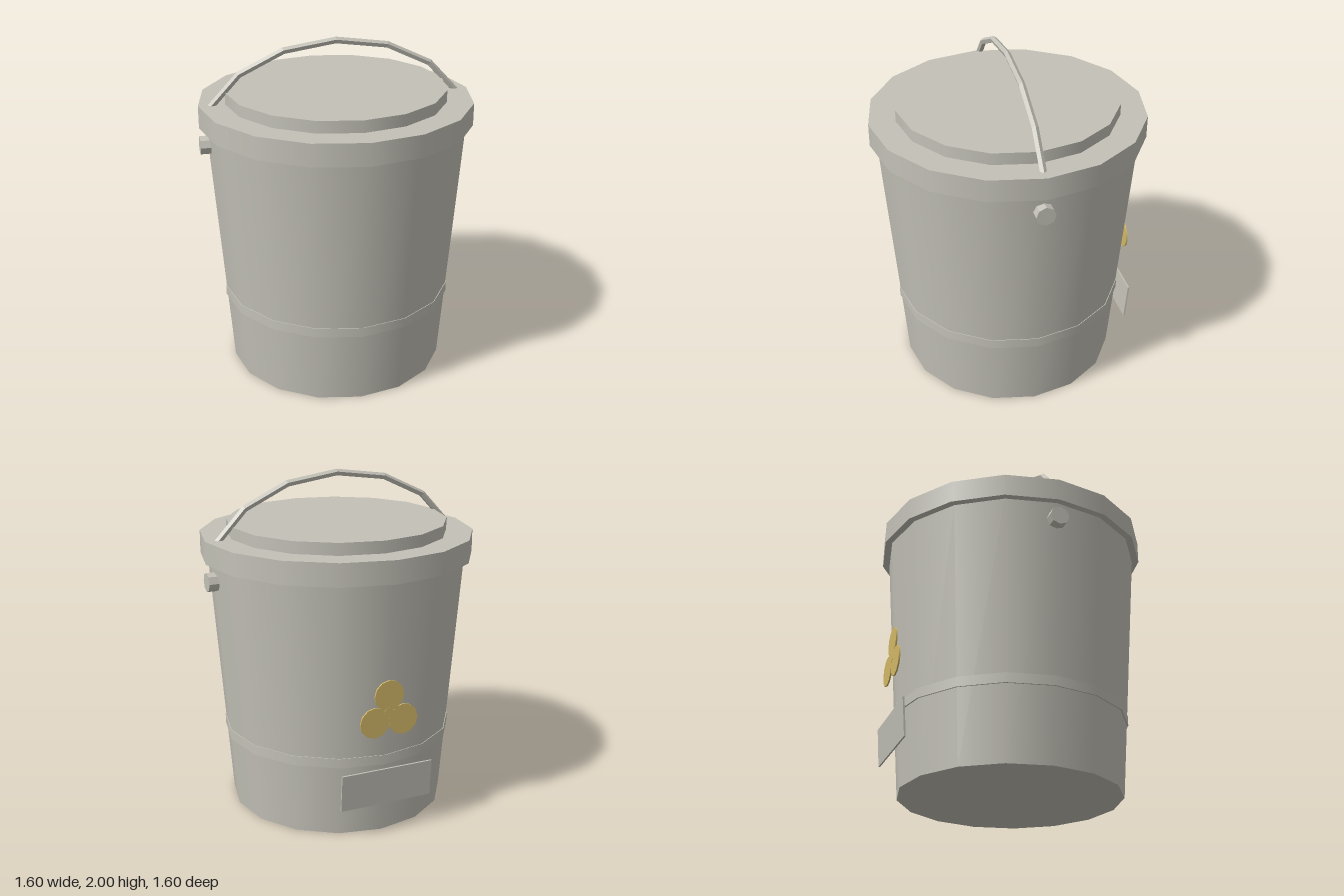
import * as THREE from 'three';

const metal = new THREE.MeshStandardMaterial({ color: 0xc3c1b7 });
metal.name = 'grey metal';
const gold = new THREE.MeshStandardMaterial({ color: 0xd2b866 });
gold.name = 'gold';

function add(parent, name, geometry, material, x = 0, y = 0, z = 0) {
  const mesh = new THREE.Mesh(geometry, material);
  mesh.name = name;
  mesh.position.set(x, y, z);
  parent.add(mesh);
  return mesh;
}

// Upright 16-sided drum with smooth sides, standing between two heights
function drum(parent, name, rTop, rBottom, y0, y1) {
  const geometry = new THREE.CylinderGeometry(rTop, rBottom, y1 - y0, 16);
  return add(parent, name, geometry, metal, 0, (y0 + y1) / 2, 0);
}

function faceted(geometry) {
  const flat = geometry.toNonIndexed();
  flat.computeVertexNormals();
  return flat;
}

// Five-sided bar swept along an elliptical arc, with its ridge facing outward
function handleGeometry() {
  const rx = 0.795, ry = 0.57, r = 0.02, sides = 5, steps = 6;
  const positions = [], index = [];
  for (let i = 0; i <= steps; i++) {
    const u = Math.PI * (0.125 + 0.125 * i);
    const out = new THREE.Vector2(Math.cos(u) / rx, Math.sin(u) / ry).normalize();
    for (let j = 0; j < sides; j++) {
      const v = (j / sides) * Math.PI * 2;
      const d = r * Math.cos(v);
      positions.push(rx * Math.cos(u) + out.x * d, 1.41 + ry * Math.sin(u) + out.y * d, r * Math.sin(v));
    }
  }
  for (let i = 0; i < steps; i++) {
    for (let j = 0; j < sides; j++) {
      const a = i * sides + j, b = i * sides + ((j + 1) % sides);
      index.push(a, a + sides, b, b, a + sides, b + sides);
    }
  }
  // End caps
  const last = steps * sides;
  for (let j = 1; j < sides - 1; j++) {
    index.push(0, j, j + 1, last, last + j + 1, last + j);
  }
  const geometry = new THREE.BufferGeometry();
  geometry.setAttribute('position', new THREE.Float32BufferAttribute(positions, 3));
  geometry.setIndex(index);
  return faceted(geometry);
}

export function createModel() {
  const model = new THREE.Group();
  model.name = 'lidded bucket';

  // Tapered body with a narrow band, and a stepped lid
  drum(model, 'body', 0.76, 0.645, 0, 1.52);
  drum(model, 'band', 0.686, 0.686, 0.43, 0.487);
  drum(model, 'lidRim', 0.8, 0.8, 1.513, 1.645);
  drum(model, 'lidTop', 0.645, 0.645, 1.64, 1.715);

  // Carrying handle and its pivot pins
  add(model, 'handle', handleGeometry(), metal);
  for (const side of [-1, 1]) {
    const pin = faceted(new THREE.CylinderGeometry(0.056, 0.056, 0.12, 8));
    pin.rotateZ(Math.PI / 2);
    add(model, side > 0 ? 'leftPin' : 'rightPin', pin, metal, side * 0.74, 1.41, 0);
  }

  // Blank plate leaning with the back wall
  const plate = add(model, 'backPlate', new THREE.BoxGeometry(0.56, 0.222, 0.01), metal, 0, 0.307, -0.707);
  plate.rotation.x = -0.076;

  // Three-petal ornament on the back
  const ornament = new THREE.Group();
  ornament.name = 'backOrnament';
  ornament.position.set(0, 0.76, -0.7225);
  model.add(ornament);
  const disc = (r, depth) => new THREE.CylinderGeometry(r, r, depth, 12).rotateX(Math.PI / 2);
  for (let i = 0; i < 3; i++) {
    const a = Math.PI / 2 + (i * Math.PI * 2) / 3;
    // Tiny steps in depth keep the overlapping petals from coinciding
    add(ornament, 'petal', disc(0.09, 0.009), gold, 0.1 * Math.cos(a), 0.1 * Math.sin(a), -0.0003 * i);
  }
  add(ornament, 'ornamentCentre', disc(0.03, 0.0098), gold, 0, 0, -0.001);

  return model;
}
